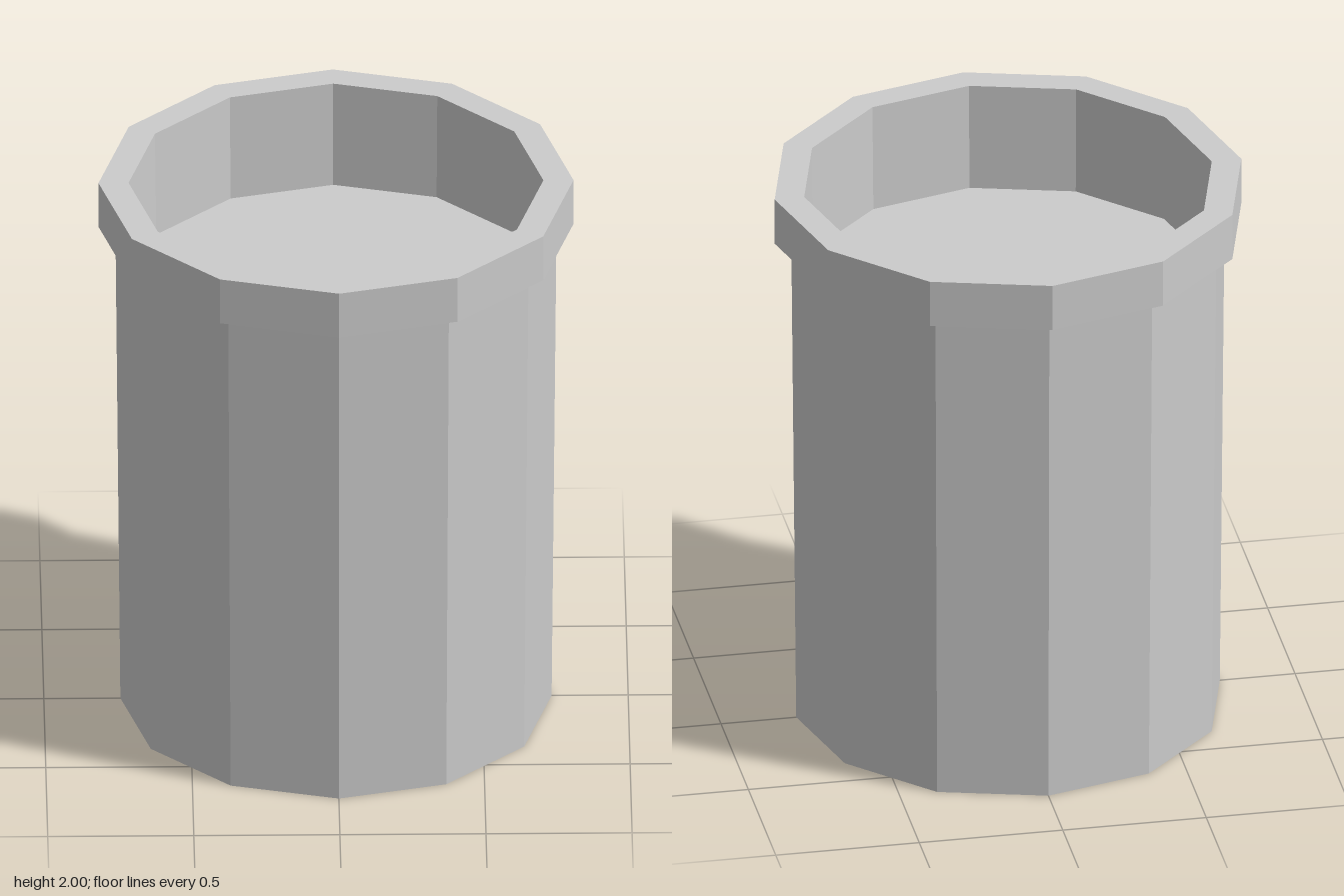
import * as THREE from 'three';

const SIDES = 12;
const material = new THREE.MeshStandardMaterial({ color: 0xcccccc, flatShading: true });

// Revolve an outline of [radius, height] pairs into a faceted part
function turned(name, outline) {
  const points = outline.map(([r, y]) => new THREE.Vector2(r, y));
  const mesh = new THREE.Mesh(new THREE.LatheGeometry(points, SIDES), material);
  mesh.name = name;
  return mesh;
}

export function createModel() {
  const group = new THREE.Group();
  group.name = 'container';

  // Slightly tapered body with a closed base
  group.add(turned('body', [[0, 0], [0.738, 0], [0.755, 1.83]]));

  // Overhanging collar: underside, outer band and flat lip
  group.add(turned('rim', [[0.755, 1.83], [0.813, 1.83], [0.813, 2], [0.71, 2]]));

  // Shallow recess with a flat floor
  group.add(turned('innerWall', [[0.71, 2], [0.705, 1.61]]));
  group.add(turned('innerFloor', [[0.705, 1.61], [0, 1.61]]));

  return group;
}
